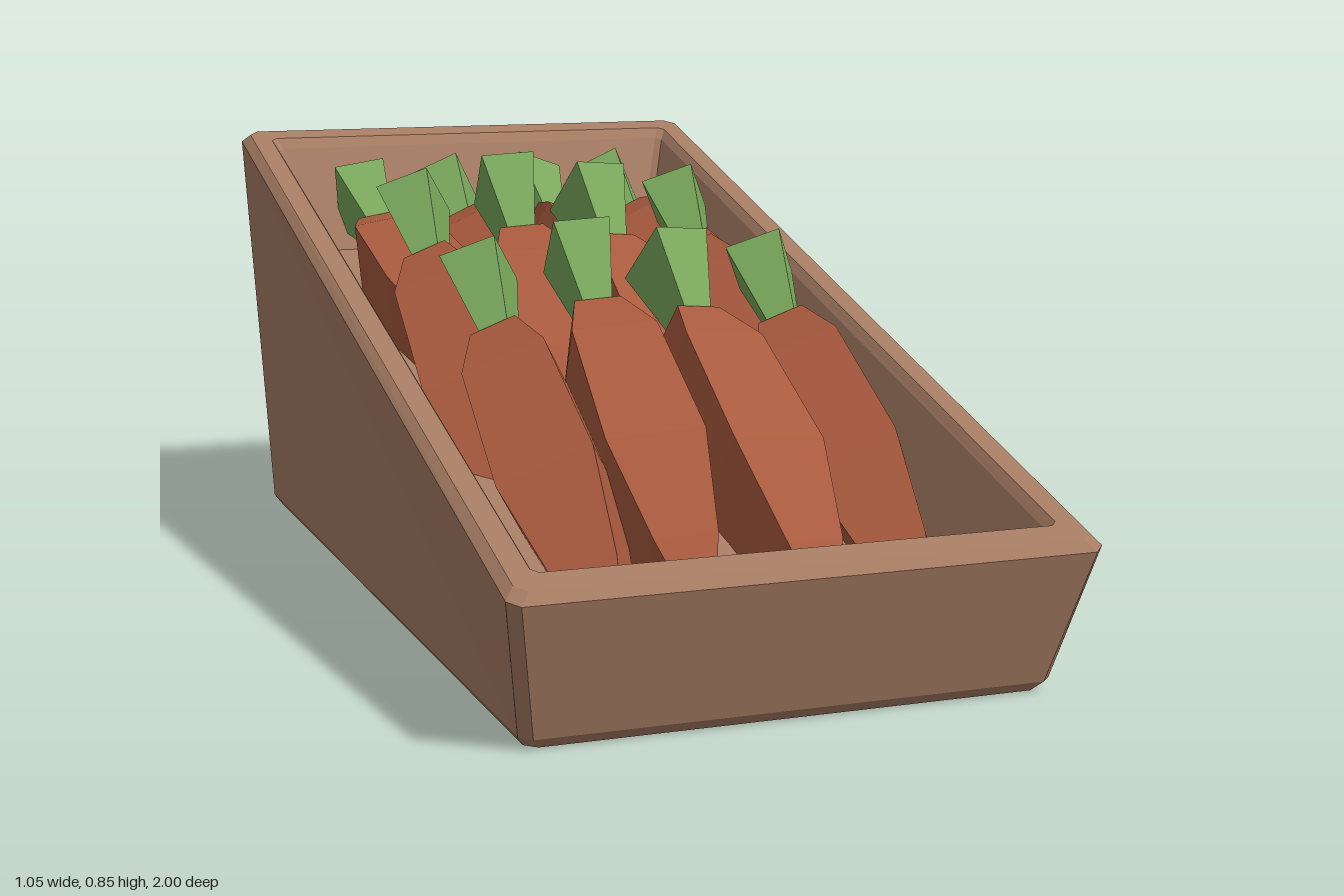
import * as THREE from 'three';

const paint = (color) => new THREE.MeshStandardMaterial({ color, flatShading: true });

// Lofts chamfered rectangles, each given as [halfWidth, zFront, zBack, yFront, yBack, chamfer]
function loftRings(rings) {
  const pos = [], idx = [], n = 8;
  for (const [w, zf, zb, yf, yb, c] of rings) {
    const outline = [
      [w - c, zf], [w, zf - c], [w, zb + c], [w - c, zb],
      [c - w, zb], [-w, zb + c], [-w, zf - c], [c - w, zf],
    ];
    for (const [x, z] of outline) {
      pos.push(x, THREE.MathUtils.mapLinear(z, zf, zb, yf, yb), z);
    }
  }
  for (let r = 0; r < rings.length - 1; r++) {
    for (let i = 0; i < n; i++) {
      const a = r * n + i, b = r * n + (i + 1) % n;
      idx.push(a, b, a + n, b, b + n, a + n);
    }
  }
  const last = (rings.length - 1) * n;
  for (let k = 1; k < n - 1; k++) {
    idx.push(0, k + 1, k, last, last + k, last + k + 1);
  }
  const geo = new THREE.BufferGeometry();
  geo.setAttribute('position', new THREE.Float32BufferAttribute(pos, 3));
  geo.setIndex(idx);
  geo.computeVertexNormals();
  return geo;
}

// Closed four-sided spindle from [halfSide, height] pairs
function squareSpindle(profile) {
  const pts = profile.map(([h, y]) => new THREE.Vector2(h * Math.SQRT2, y));
  return new THREE.LatheGeometry(pts, 4, Math.PI / 4);
}

export function createModel() {
  const model = new THREE.Group();
  model.name = 'carrotCrate';

  // Sloping crate: underside, outer walls, bevelled rim, inner walls, sloping floor
  const crate = new THREE.Mesh(loftRings([
    [0.465, 0.895, -0.94, 0, 0, 0.02],
    [0.48, 0.915, -0.955, 0.02, 0.02, 0.02],
    [0.525, 1, -1, 0.265, 0.83, 0.02],
    [0.508, 0.985, -0.985, 0.285, 0.845, 0.02],
    [0.467, 0.935, -0.94, 0.3, 0.832, 0.012],
    [0.455, 0.92, -0.925, 0.285, 0.81, 0.012],
    [0.388, 0.72, -0.83, 0.15, 0.59, 0.012],
  ]), paint(0xa67c63));
  crate.name = 'crate';
  model.add(crate);

  // Shared carrot parts, modelled upright with the tip at the origin
  const length = 0.67;
  const rootGeo = squareSpindle([
    [0, 0], [0.038, 0], [0.058, 0.07], [0.092, 0.28], [0.081, 0.56], [0.045, length], [0, length],
  ]);
  const leafGeo = squareSpindle([[0, -0.02], [0.024, -0.02], [0.055, 0.17], [0, 0.17]]);
  leafGeo.scale(1, 1, 1.45);
  const orange = paint(0xa85a3e), green = paint(0x7aa85c);

  function addCarrot(name, x, y, z, tilt, roll, yaw) {
    const carrot = new THREE.Group();
    carrot.name = name;
    carrot.position.set(x, y, z); // crown of the root
    carrot.rotation.y = yaw;
    const root = new THREE.Mesh(rootGeo, orange);
    root.name = 'root';
    root.rotation.set(tilt - Math.PI / 2, -roll, 0);
    root.position.set(0, -length * Math.sin(tilt), length * Math.cos(tilt));
    const leaves = new THREE.Mesh(leafGeo, green);
    leaves.name = 'leaves';
    leaves.rotation.set(tilt + 0.16 - Math.PI / 2, -roll, 0);
    carrot.add(root, leaves);
    model.add(carrot);
  }

  // Columns: crown x, height offset, roll, yaw
  const columns = [
    [-0.28, 0, 0.52, 0.03],
    [-0.092, 0.035, 0.08, -0.03],
    [0.1, 0.01, -0.12, 0.04],
    [0.297, -0.01, 0.5, 0.03],
  ];
  // Rows: crown height, crown z, tilt, extra roll per column
  const rows = [
    [0.54, 0.17, 0.62, [0, 0, 0, 0]],
    [0.625, -0.295, 0.62, [0, 0, 0, 0]],
    [0.64, -0.7, 0.28, [-0.35, 0.4, -0.25, 0]],
  ];
  rows.forEach(([y, z, tilt, extra], r) => {
    columns.forEach(([x, lift, roll, yaw], c) => {
      addCarrot(`carrotRow${r + 1}Column${c + 1}`, x, y + (r < 2 ? lift : 0), z, tilt, roll + extra[c], yaw);
    });
  });

  return model;
}
